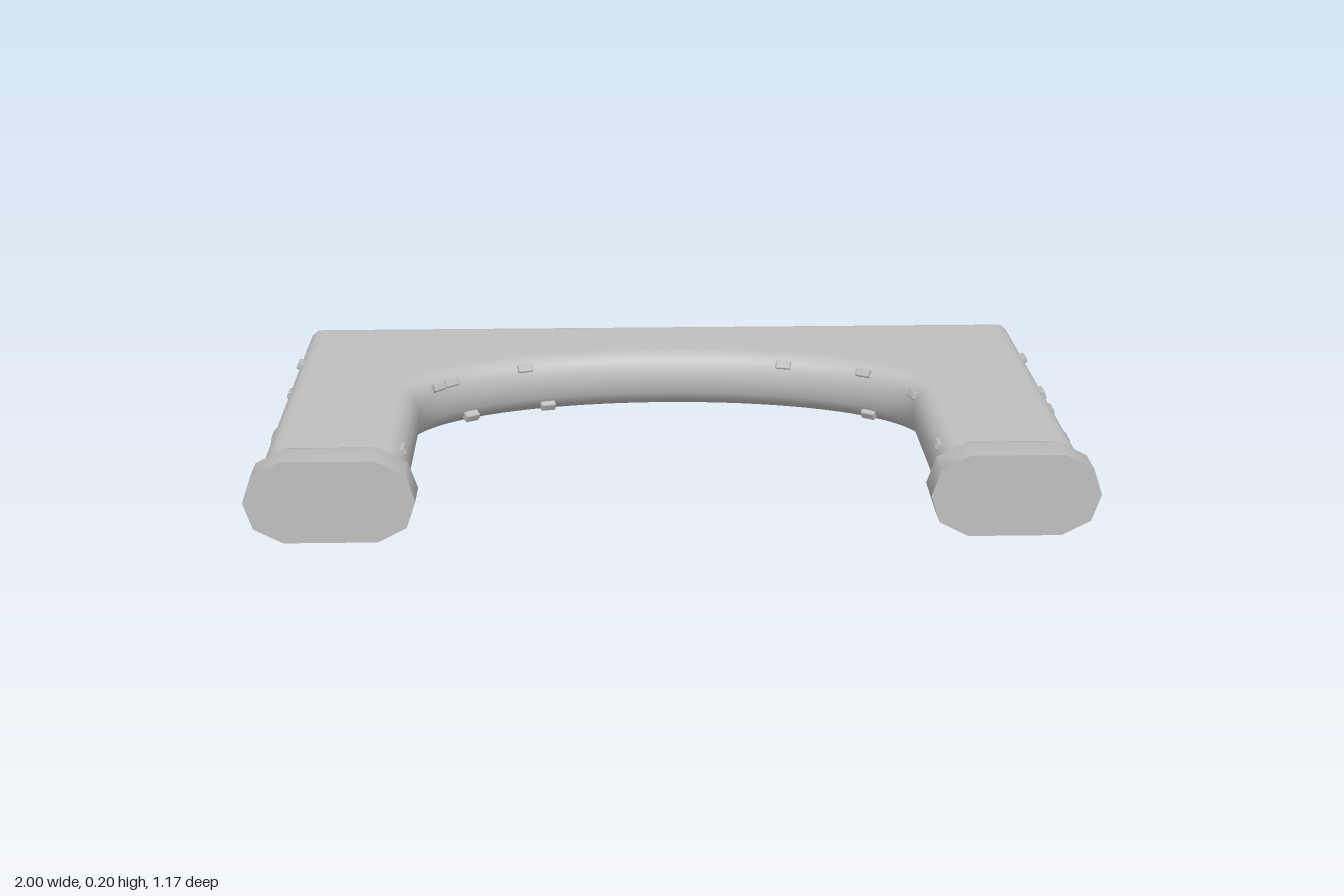
import * as THREE from 'three';
import { toCreasedNormals } from 'three/addons/utils/BufferGeometryUtils.js';
import { RoundedBoxGeometry } from 'three/addons/geometries/RoundedBoxGeometry.js';

const OUT = 0.975, BACK = -0.585, FRONT = 0.48, RX = 0.63, RZ = 0.3;
const MID = 0.1025, HALF = 0.0725;

// Skin a row of closed rings (each [x, y, z] points) and close both ends
function loft(rings) {
  const n = rings[0].length, pos = rings.flat(2), index = [];
  const last = rings.length - 1;
  for (let i = 0; i < last; i++) {
    for (let j = 0; j < n; j++) {
      const k = (j + 1) % n, a = i * n + j, b = i * n + k;
      index.push(a, b, a + n, b, b + n, a + n);
    }
  }
  for (let j = 1; j < n - 1; j++) {
    index.push(0, j + 1, j);
    index.push(last * n, last * n + j, last * n + j + 1);
  }
  const g = new THREE.BufferGeometry();
  g.setAttribute('position', new THREE.Float32BufferAttribute(pos, 3));
  g.setIndex(index);
  return toCreasedNormals(g, 0.8);
}

// Rounded edge from mid height to the top: [inset, height] as fractions
const EDGE = [[0, 0], [0.08, 0.45], [0.3, 0.75], [0.65, 0.95], [1, 1], [1.5, 1]];
const LOWER = EDGE.slice(1).map(([d, h]) => [d, -h]);

// Cross-section between the arch opening and the outer edge
function section({ inner, normal, outer }, side) {
  const inPt = ([d, h]) => [
    side * (inner[0] + normal[0] * d * 0.05), MID + HALF * h, inner[1] + normal[1] * d * 0.05];
  const outPt = ([d, h]) => [
    side * Math.min(outer[0], OUT - 0.045 * d), MID + HALF * h, Math.max(outer[1], BACK + 0.022 * d)];
  return [
    ...EDGE.map(inPt), ...[...EDGE].reverse().map(outPt),
    ...LOWER.map(outPt), ...[...LOWER].reverse().map(inPt)];
}

// Stations along one half: straight leg, then the elliptical opening
function halfStations() {
  const list = [FRONT, 0.3, 0.12].map((z) => ({ inner: [RX, z], normal: [1, 0], outer: [OUT, z] }));
  const add = (t, outer) => {
    const c = Math.cos(t), s = Math.sin(t);
    const len = Math.hypot(c / RX, s / RZ);
    list.push({
      inner: [RX * c, -RZ * s], normal: [c / RX / len, -s / RZ / len], outer });
  };
  const deg = Math.PI / 180;
  for (let i = 0; i <= 8; i++) add(i * 4.5 * deg, [OUT, -0.555 * i / 8]);
  add(40 * deg, [0.966, -0.576]);
  for (let i = 0; i <= 10; i++) add((44 + 4.6 * i) * deg, [0.945 * (1 - i / 10), BACK]);
  return list;
}

export function createModel() {
  const group = new THREE.Group();
  const stone = new THREE.MeshStandardMaterial({ color: 0xbfbfbf });
  stone.name = 'grey stone';
  const add = (geometry, name) => {
    const mesh = new THREE.Mesh(geometry, stone);
    mesh.name = name;
    group.add(mesh);
    return mesh;
  };

  // Arch body: one leg, over the opening, down the other leg
  const half = halfStations();
  add(loft([
    ...half.map((s) => section(s, 1)),
    ...half.slice(0, -1).reverse().map((s) => section(s, -1)),
  ]), 'archBody');

  // Octagonal feet, chamfered towards the legs
  const quarter = [[0.2, 0], [0.178, 0.065], [0.11, 0.1]];
  const mirror = ([x, y]) => [-x, y];
  const top = [...quarter.map(mirror), ...[...quarter].reverse()];
  const outline = [...top, ...top.slice(1, -1).reverse().map(([x, y]) => [x, -y])];
  const ring = (cx, z, k) => outline.map(([x, y]) => [cx + x - Math.sign(x) * k, 0.1 + y * (1 - k * 5), z]);
  for (const side of [1, -1]) {
    const cx = side * 0.8;
    add(loft([ring(cx, 0.585, 0), ring(cx, 0.492, 0), ring(cx, 0.478, 0.006), ring(cx, 0.47, 0.02)]),
      side > 0 ? 'leftFoot' : 'rightFoot');
  }

  // Small bricks standing slightly proud of the surface
  const brick = (x, y, z, length, height, yaw, tilt) => {
    const mesh = add(new RoundedBoxGeometry(0.03, height, length, 1, 0.004), 'brick');
    mesh.position.set(x, y, z);
    mesh.rotation.set(0, yaw, tilt, 'YXZ');
  };

  // Bricks on the outer sides: [z, y, length, height]
  const leftBricks = [
    [0.09, 0.143, 0.042, 0.02], [-0.03, 0.146, 0.045, 0.026], [-0.31, 0.153, 0.042, 0.018],
    [-0.075, 0.055, 0.042, 0.018], [-0.25, 0.06, 0.046, 0.025], [-0.365, 0.052, 0.042, 0.016]];
  const rightBricks = [
    [0.03, 0.06, 0.042, 0.02], [-0.09, 0.143, 0.04, 0.02], [-0.26, 0.06, 0.045, 0.025],
    [-0.31, 0.153, 0.042, 0.02], [0.1, 0.055, 0.04, 0.018]];
  [[1, leftBricks], [-1, rightBricks]].forEach(([side, bricks]) => {
    for (const [z, y, length, height] of bricks) {
      brick(side * 0.958, y, z, length, height, 0, side * Math.sign(y - MID) * 0.4);
    }
  });

  // Bricks around the opening: [x, z, y]
  const innerBricks = [
    [-0.59, -0.12, 0.15], [-0.56, -0.16, 0.148], [-0.37, -0.265, 0.152], [0.32, -0.28, 0.15],
    [0.525, -0.19, 0.155], [0.64, -0.035, 0.145], [-0.648, 0.37, 0.15], [0.648, 0.37, 0.15],
    [-0.51, -0.185, 0.052], [-0.31, -0.275, 0.05], [0.54, -0.172, 0.052]];
  for (const [x, z, y] of innerBricks) {
    const yaw = z > 0 ? (x > 0 ? Math.PI : 0) : Math.atan2(z / RZ / RZ, -x / RX / RX);
    brick(x, y, z, 0.04, 0.022, yaw, Math.sign(y - MID) * 0.45);
  }

  // Tall curved block wrapped over each outer side
  const wrap = new THREE.Shape([
    [0.92, 0.045], [0.953, 0.043], [0.974, 0.065], [0.981, 0.1025],
    [0.974, 0.14], [0.953, 0.162], [0.92, 0.16]].map(([x, y]) => new THREE.Vector2(x, y)));
  for (const [side, z] of [[1, 0.285], [-1, 0.21]]) {
    const g = new THREE.ExtrudeGeometry(wrap, { depth: 0.054, bevelEnabled: false });
    g.translate(0, 0, -0.027);
    const mesh = add(toCreasedNormals(g, 0.8), 'wrappedBlock');
    mesh.position.z = z;
    if (side < 0) mesh.rotation.y = Math.PI;
  }
  return group;
}
